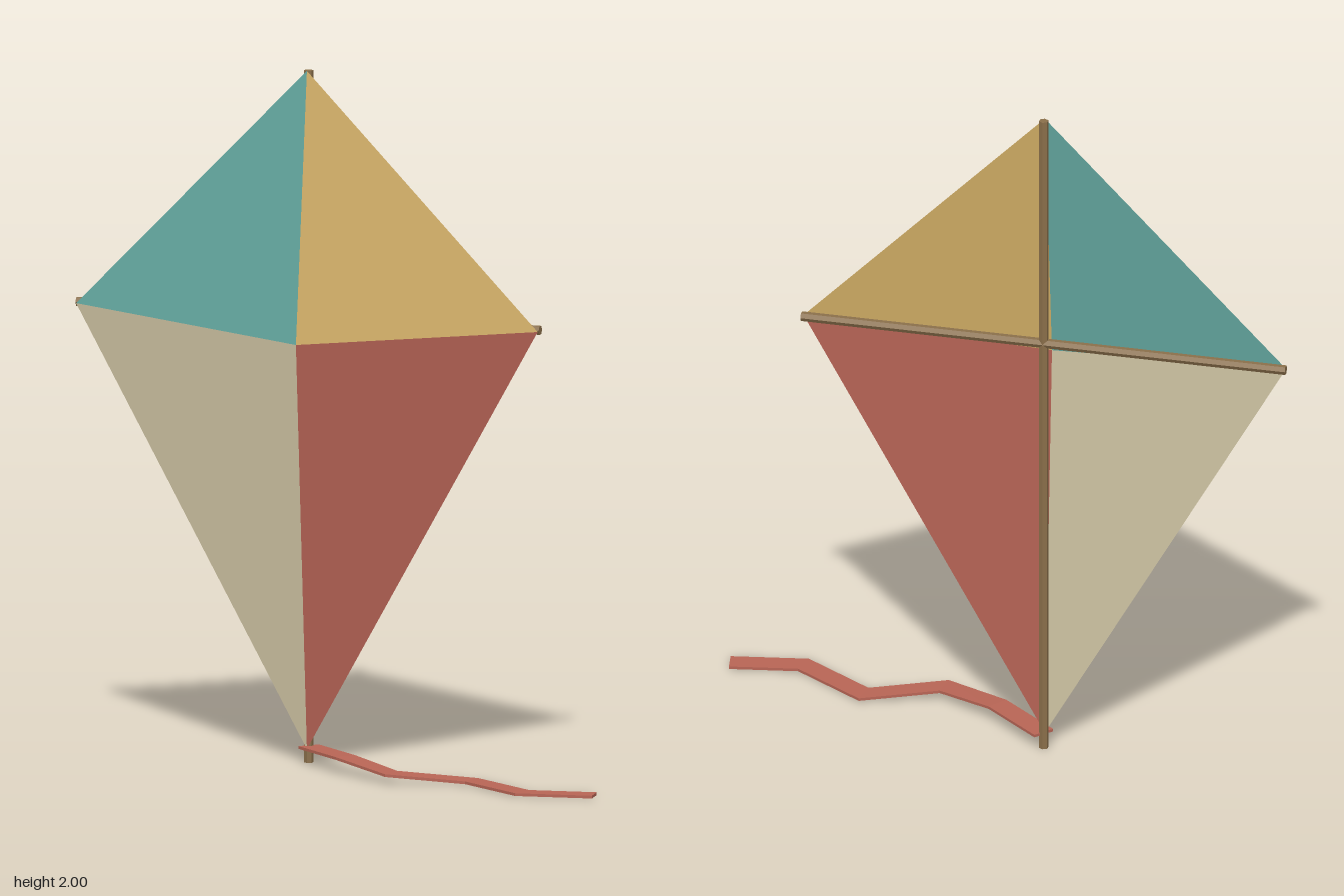
import * as THREE from 'three';

const CX = -0.147, SPAR_Z = -0.171, SAIL_Z = -0.157;

const material = (color, extra = {}) => {
  const m = new THREE.MeshStandardMaterial({ flatShading: true, ...extra });
  m.color.set(color);
  return m;
};

function geometryFrom(positions, index) {
  const g = new THREE.BufferGeometry();
  g.setAttribute('position', new THREE.Float32BufferAttribute(positions, 3));
  if (index) g.setIndex(index);
  g.computeVertexNormals();
  return g;
}

// Flat ribbon with mitred corners, swept along a path of [x, y, z] points
function ribbonGeometry(path, width, thickness) {
  const pts = path.map(p => new THREE.Vector3(...p));
  const flatDir = (a, b) => new THREE.Vector2(b.x - a.x, b.z - a.z).normalize();
  const positions = [], index = [];
  pts.forEach((p, i) => {
    const before = flatDir(pts[Math.max(i - 1, 0)], pts[Math.max(i, 1)]);
    const j = Math.min(i, pts.length - 2);
    const after = flatDir(pts[j], pts[j + 1]);
    const t = before.clone().add(after).normalize();
    const half = width / 2 / t.dot(before);
    const ox = -t.y * half, oz = t.x * half, h = thickness / 2;
    for (const [s, v] of [[1, h], [-1, h], [-1, -h], [1, -h]])
      positions.push(p.x + s * ox, p.y + v, p.z + s * oz);
  });
  for (let i = 0; i < pts.length - 1; i++)
    for (let k = 0; k < 4; k++) {
      const a = i * 4 + k, b = i * 4 + (k + 1) % 4;
      index.push(a, a + 4, b, b, a + 4, b + 4);
    }
  const e = (pts.length - 1) * 4;
  index.push(0, 1, 2, 0, 2, 3, e, e + 2, e + 1, e, e + 3, e + 2);
  return geometryFrom(positions, index).toNonIndexed();
}

export function createModel() {
  const kite = new THREE.Group();
  kite.name = 'kite';
  const add = (name, geometry, mat) => {
    const mesh = new THREE.Mesh(geometry, mat);
    mesh.name = name;
    kite.add(mesh);
    return mesh;
  };

  // Sail: four panels meeting at a point bowed toward the front
  const peak = [CX, 1.22, -0.073];
  const top = [CX, 2, SAIL_Z], bottom = [CX, 0.04, SAIL_Z];
  const left = [CX + 0.71, 1.287, SAIL_Z], right = [CX - 0.71, 1.287, SAIL_Z];
  const panels = [
    ['upperLeftPanel', left, top, 0xd2ae66],
    ['upperRightPanel', top, right, 0x64a8a0],
    ['lowerRightPanel', right, bottom, 0xcabf9f],
    ['lowerLeftPanel', bottom, left, 0xb05f52],
  ];
  for (const [name, a, b, color] of panels)
    add(name, geometryFrom([...peak, ...a, ...b]), material(color, { side: THREE.DoubleSide }));

  // Crossed six-sided wooden spars behind the sail
  const wood = material(0x8a6f4a);
  const spar = length => new THREE.CylinderGeometry(0.014, 0.014, length, 6);
  add('uprightSpar', spar(2), wood).position.set(CX, 1, SPAR_Z);
  const cross = add('crossSpar', spar(1.425), wood);
  cross.rotation.z = Math.PI / 2;
  cross.position.set(CX, 1.29, SPAR_Z);

  // Zigzag tail ribbon trailing to the ground
  const tailPath = [
    [CX, 0.045, -0.171], [0.025, 0.045, -0.025], [0.21, 0.025, 0.087],
    [0.43, 0.007, 0.018], [0.642, 0.006, 0.16], [0.85, 0.006, 0.124],
  ];
  add('tail', ribbonGeometry(tailPath, 0.066, 0.008), material(0xb86555));

  return kite;
}
